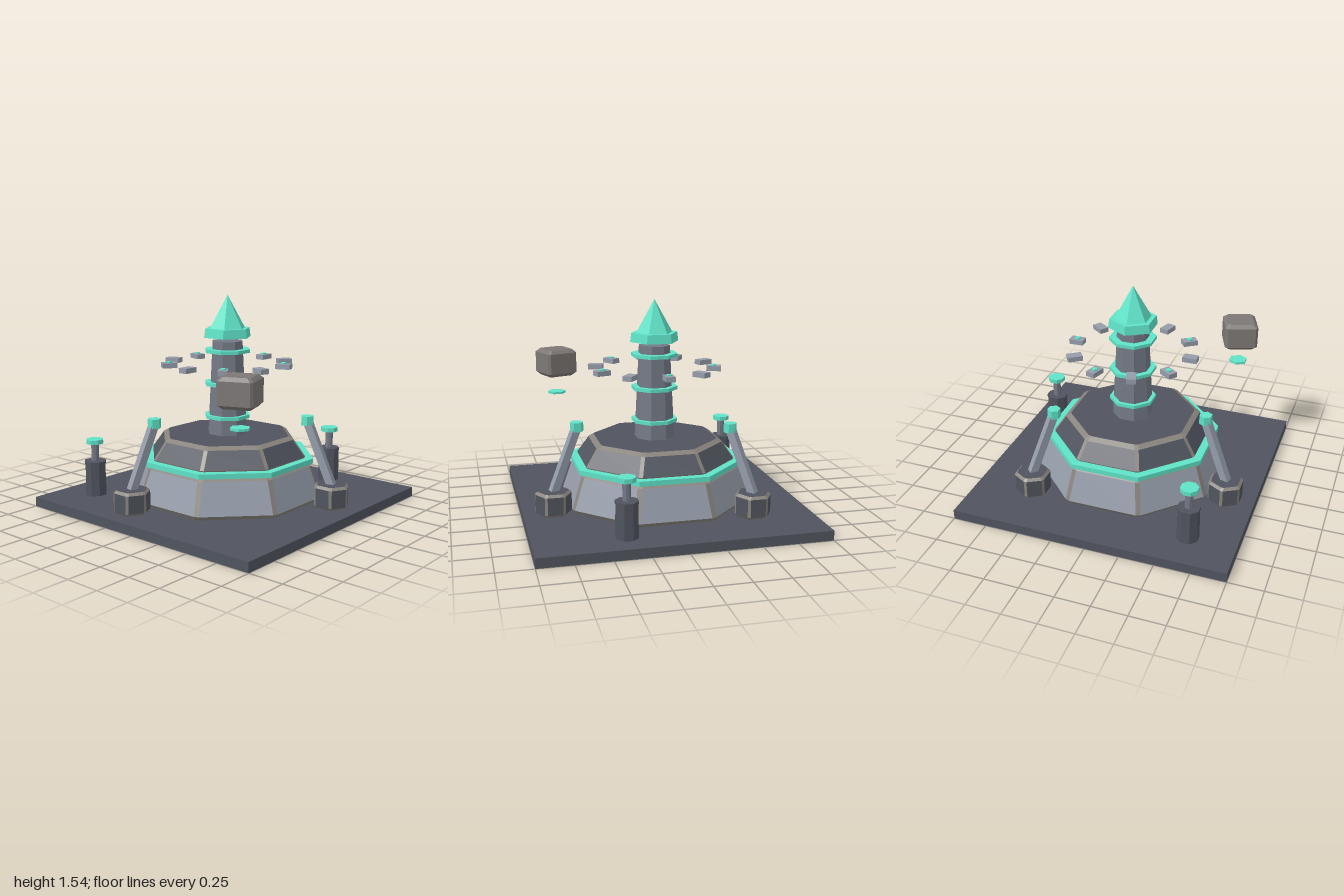
import * as THREE from 'three';

const mat = (color) => new THREE.MeshStandardMaterial({ color, flatShading: true });
const M = {
  dark: mat(0x50545e), steel: mat(0x737985), light: mat(0x959daa),
  trim: mat(0x88837c), stone: mat(0x7d7876), glow: mat(0x5fe3c8),
};

function add(parent, name, geo, material, x = 0, y = 0, z = 0) {
  const m = new THREE.Mesh(geo, material);
  m.name = name;
  m.position.set(x, y, z);
  parent.add(m);
  return m;
}

// Prism standing on y = 0 whose flats face the axes; radii are centre-to-flat
function prism(n, top, bottom, h) {
  const k = 1 / Math.cos(Math.PI / n);
  const g = new THREE.CylinderGeometry(top * k, bottom * k, h, n);
  if (n === 8) g.rotateY(Math.PI / 8);
  return g.translate(0, h / 2, 0);
}

// Tapered prism with every edge chamfered: plain panels plus trim strips
function chamfered(name, n, bottom, top, h, b, panelMat, trimMat) {
  const ring = (a, y) => {
    const pts = [], t = a * Math.tan(Math.PI / n) - b * 0.7;
    for (let k = 0; k < n; k++) {
      const q = (2 * Math.PI * k) / n, c = Math.cos(q), s = Math.sin(q);
      for (const e of [-t, t]) pts.push([a * c - e * s, y, a * s + e * c]);
    }
    return pts;
  };
  const slope = (top - bottom) / h;
  const rings = [
    ring(bottom - b, 0), ring(bottom + slope * b, b),
    ring(top - slope * b, h - b), ring(top - b, h),
  ];
  const panels = [], strips = [], count = 2 * n;
  for (let r = 0; r < 3; r++) {
    for (let i = 0; i < count; i++) {
      const j = (i + 1) % count;
      const [a0, a1, b1, b0] = [rings[r][i], rings[r + 1][i], rings[r + 1][j], rings[r][j]];
      (r === 1 && i % 2 === 0 ? panels : strips).push(a0, a1, b1, a0, b1, b0);
    }
  }
  for (let i = 1; i < count - 1; i++) {
    panels.push(rings[0][0], rings[0][i], rings[0][i + 1]);
    panels.push(rings[3][0], rings[3][i + 1], rings[3][i]);
  }
  const group = new THREE.Group();
  group.name = name;
  for (const [label, pts, material] of [['Panels', panels, panelMat], ['Trim', strips, trimMat]]) {
    const g = new THREE.BufferGeometry();
    g.setAttribute('position', new THREE.Float32BufferAttribute(pts.flat(), 3));
    g.computeVertexNormals();
    add(group, name + label, g, material);
  }
  return group;
}

export function createModel() {
  const model = new THREE.Group();
  model.name = 'crystalTower';
  const place = (g, x, y, z) => { g.position.set(x, y, z); model.add(g); return g; };

  // Ground slab and the two-tier octagonal base
  add(model, 'groundSlab', new THREE.BoxGeometry(2, 0.07, 2), M.dark, 0, 0.035, 0);
  place(chamfered('lowerTier', 8, 0.665, 0.575, 0.28, 0.028, M.light, M.trim), 0, 0.07, 0);
  add(model, 'baseRing', prism(8, 0.598, 0.598, 0.036), M.glow, 0, 0.344, 0);
  place(chamfered('upperTier', 8, 0.56, 0.45, 0.165, 0.022, M.dark, M.trim), 0, 0.366, 0);

  // Tapered tower with glowing bands and crystal
  add(model, 'towerShaft', prism(8, 0.105, 0.137, 0.69), M.steel, 0, 0.52, 0);
  for (const y of [0.66, 0.9, 1.14]) {
    add(model, 'towerBand', prism(8, 0.157, 0.157, 0.025), M.glow, 0, y - 0.0125, 0);
  }
  add(model, 'crystalCollar', prism(6, 0.147, 0.155, 0.065), M.glow, 0, 1.237, 0);
  add(model, 'crystalTip', new THREE.ConeGeometry(0.135, 0.24, 6), M.glow, 0, 1.42, 0);

  // Floating ring of small blocks, every second one with a light
  for (let i = 0; i < 10; i++) {
    const block = new THREE.Group();
    block.name = 'floatingBlock';
    block.rotation.y = (i * Math.PI) / 5;
    add(block, 'block', new THREE.BoxGeometry(0.105, 0.036, 0.068), M.light, 0.43, 1.046, 0);
    if (i % 2 === 0) add(block, 'blockLight', prism(6, 0.018, 0.018, 0.012), M.glow, 0.43, 1.061, 0);
    model.add(block);
  }

  // Three hexagonal anchors with leaning struts
  for (const deg of [75, 195, 315]) {
    const c = Math.cos((deg * Math.PI) / 180), s = Math.sin((deg * Math.PI) / 180);
    place(chamfered('anchor', 6, 0.116, 0.116, 0.165, 0.018, M.dark, M.trim), 0.81 * c, 0.07, 0.81 * s);
    const low = new THREE.Vector3(0.82, 0.2, 0), high = new THREE.Vector3(0.625, 0.67, 0);
    const arm = new THREE.Group();
    arm.name = 'strutArm';
    arm.rotation.y = (-deg * Math.PI) / 180;
    const mid = low.clone().add(high).multiplyScalar(0.5);
    const bar = add(arm, 'strut', new THREE.BoxGeometry(0.055, low.distanceTo(high), 0.055), M.light, mid.x, mid.y, 0);
    bar.rotation.z = Math.atan2(low.x - high.x, high.y - low.y);
    model.add(arm);
    add(model, 'strutCap', prism(6, 0.041, 0.041, 0.066), M.glow, 0.622 * c, 0.644, 0.622 * s);
  }

  // Two lamp posts
  for (const [x, z] of [[0.79, 0.375], [-0.655, -0.725]]) {
    const post = new THREE.Group();
    post.name = 'lampPost';
    add(post, 'postBody', prism(8, 0.07, 0.074, 0.24), M.dark, 0, 0.07, 0);
    add(post, 'postRim', prism(8, 0.076, 0.076, 0.018), M.dark, 0, 0.307, 0);
    add(post, 'postStem', prism(8, 0.027, 0.027, 0.14), M.steel, 0, 0.32, 0);
    add(post, 'postLight', prism(8, 0.06, 0.06, 0.032), M.glow, 0, 0.455, 0);
    place(post, x, 0, z);
  }

  // Hovering stone with a glowing disc beneath
  place(chamfered('hoverStone', 4, 0.122, 0.122, 0.205, 0.025, M.stone, M.stone), -0.635, 0.9, 0.635).rotation.y = 0.35;
  add(model, 'hoverDisc', prism(6, 0.06, 0.06, 0.016), M.glow, -0.635, 0.754, 0.635);

  return model;
}
